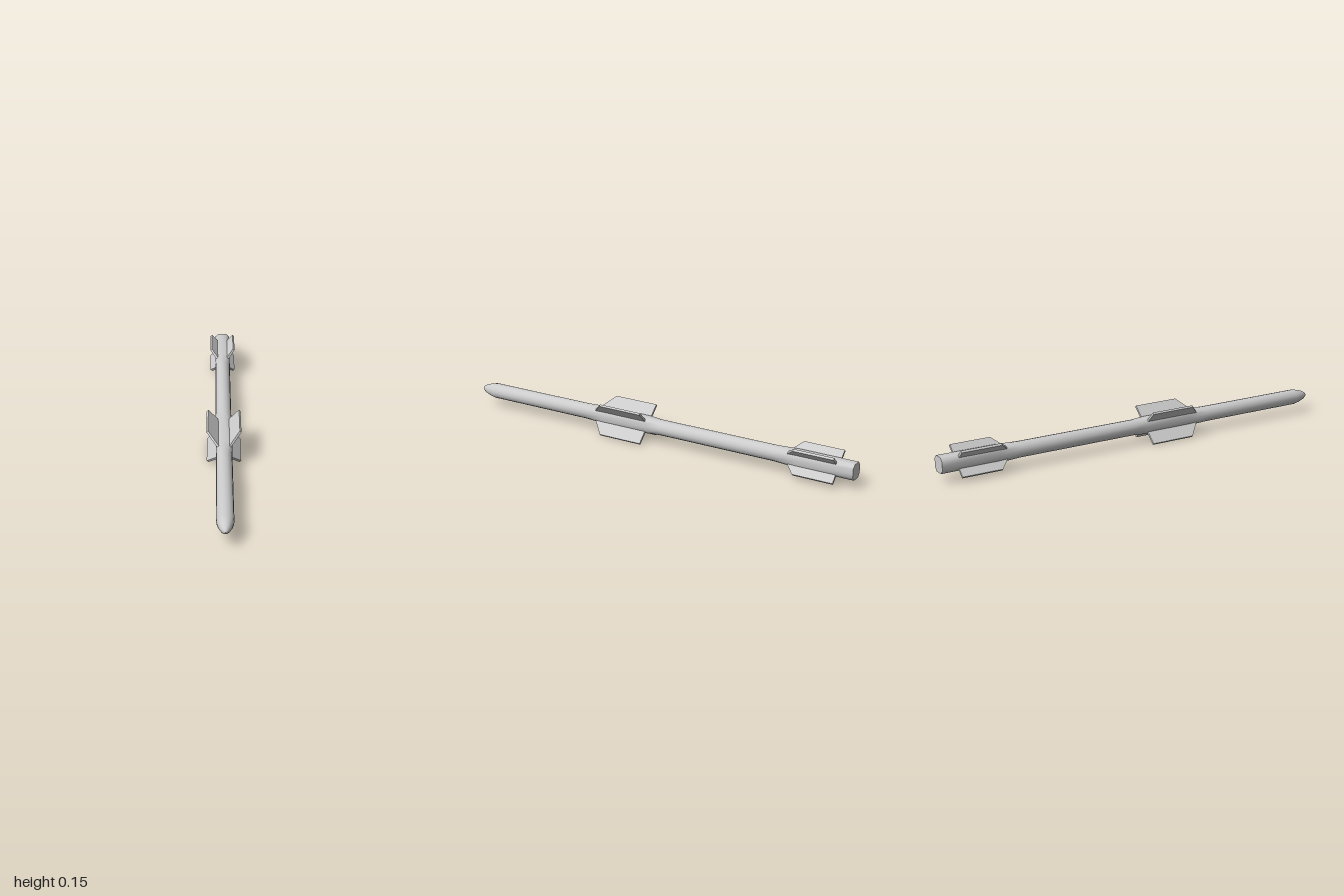
import * as THREE from 'three';

const AXIS_Y = 0.0767, R = 0.0362, CORNER = 0.02, SIDES = 16;

// Cross-section point: blend 0 = round tube, blend 1 = square with cut corners
function sectionPoint(i, radius, blend) {
  const a = (i % SIDES) * Math.PI * 2 / SIDES;
  const mid = (R + CORNER) / 2;
  const quarter = [[R, 0], [R, CORNER], [mid, mid], [CORNER, R]];
  let [x, y] = quarter[i % 4];
  for (let k = 0; k < Math.floor((i % SIDES) / 4); k++) [x, y] = [-y, x];
  return [
    THREE.MathUtils.lerp(Math.cos(a) * radius, x, blend),
    THREE.MathUtils.lerp(Math.sin(a) * radius, y, blend),
  ];
}

// Lofted skin through [z, radius, blend] stations
function loft(stations) {
  const pos = [], index = [];
  stations.forEach(([z, radius, blend], j) => {
    for (let i = 0; i < SIDES; i++) {
      pos.push(...sectionPoint(i, radius, blend), z);
      if (j === stations.length - 1) continue;
      const n = (i + 1) % SIDES, a = j * SIDES, b = a + SIDES;
      index.push(a + i, a + n, b + i, a + n, b + n, b + i);
    }
  });
  const geo = new THREE.BufferGeometry();
  geo.setAttribute('position', new THREE.Float32BufferAttribute(pos, 3));
  geo.setIndex(index);
  geo.computeVertexNormals();
  return geo;
}

// Clipped-corner fin plate lying along +x, thin in y
function finGeometry(tip, rear, front, tipFront, thickness) {
  const root = 0.028, skin = 0.037;
  const shape = new THREE.Shape([
    [root, rear], [tip, rear], [tip, tipFront], [skin, front], [root, front],
  ].map(([x, y]) => new THREE.Vector2(x, y)));
  const geo = new THREE.ExtrudeGeometry(shape, { depth: thickness, bevelEnabled: false });
  geo.translate(0, 0, -thickness / 2);
  geo.rotateX(Math.PI / 2);
  return geo;
}

export function createModel() {
  const model = new THREE.Group();
  model.name = 'missile';
  const grey = new THREE.MeshStandardMaterial({ color: 0xcccccc });
  grey.name = 'light grey';
  const add = (geo, name) => {
    const mesh = new THREE.Mesh(geo, grey);
    mesh.name = name;
    mesh.position.y = AXIS_Y;
    model.add(mesh);
    return mesh;
  };

  // Tube that swells into flat-sided mounts at both fin sets
  add(loft([
    [-1, R, 1], [-0.73, R, 1], [-0.62, R, 0],
    [-0.03, R, 0], [0.03, R, 1], [0.27, R, 1], [0.37, R, 0],
    [0.92, R, 0], [0.95, 0.03, 0], [0.975, 0.0215, 0],
    [0.99, 0.0135, 0], [0.998, 0.006, 0], [1, 0.0002, 0],
  ]), 'body');

  // Flat tail plate
  const outline = [];
  for (let i = 0; i < SIDES; i++) outline.push(new THREE.Vector2(...sectionPoint(i, R, 1)));
  const cap = new THREE.ShapeGeometry(new THREE.Shape(outline));
  cap.rotateY(Math.PI);
  cap.translate(0, 0, -1);
  add(cap, 'tailCap');

  // Two sets of four diagonal fins
  const midFin = finGeometry(0.1034, 0.035, 0.31, 0.255, 0.01);
  const tailFin = finGeometry(0.081, -0.92, -0.69, -0.73, 0.011);
  for (let k = 0; k < 4; k++) {
    const angle = Math.PI / 4 + k * Math.PI / 2;
    add(midFin, 'midFin' + (k + 1)).rotation.z = angle;
    add(tailFin, 'tailFin' + (k + 1)).rotation.z = angle;
  }
  return model;
}
